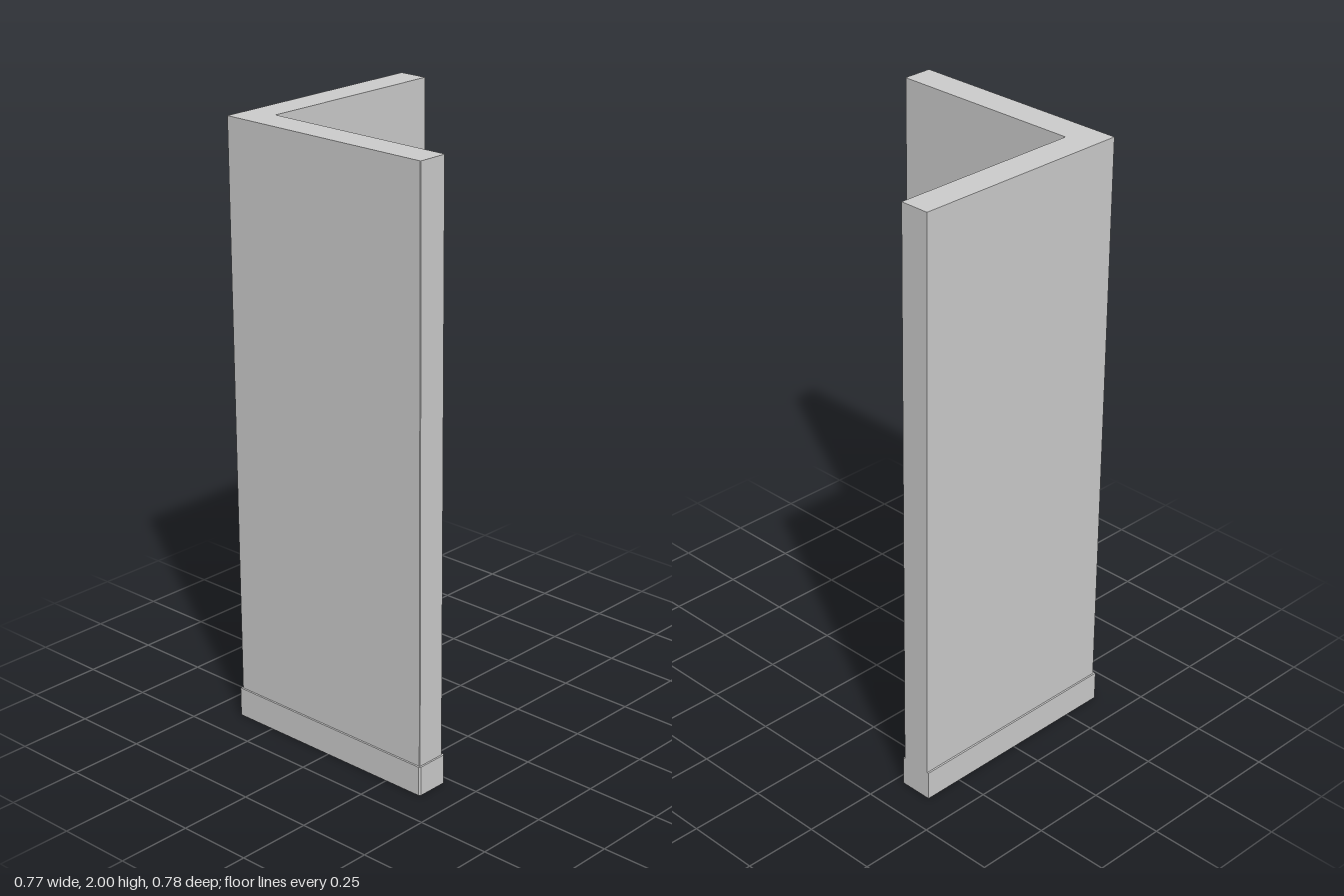
import * as THREE from 'three';

const material = new THREE.MeshStandardMaterial({ color: 0xcccccc, flatShading: true });

// Extrudes an L-shaped plan, given by its outer and inner faces, upward from y0 to y1.
function lShape(name, { back, front, left, right, innerX, innerZ, cut }, y0, y1) {
  const plan = [
    [left, back], [left, front - cut], [left + cut, front],
    [innerX - cut, front], [innerX, front - cut],
    [innerX, innerZ], [right, innerZ], [right, back],
  ];
  const shape = new THREE.Shape(plan.map(([x, z]) => new THREE.Vector2(x, -z)));
  const geometry = new THREE.ExtrudeGeometry(shape, { depth: y1 - y0, bevelEnabled: false });
  geometry.rotateX(-Math.PI / 2).translate(0, y0, 0);
  const mesh = new THREE.Mesh(geometry, material);
  mesh.name = name;
  return mesh;
}

export function createModel() {
  const group = new THREE.Group();
  group.name = 'cornerWall';

  // Two wall panels meeting at a right angle
  group.add(lShape('wall', {
    left: -0.381, right: 0.386, back: -0.388, front: 0.385,
    innerX: -0.279, innerZ: -0.288, cut: 0.002,
  }, 0.095, 2));

  // Slightly wider skirting with clipped corners at its free front end
  group.add(lShape('baseboard', {
    left: -0.387, right: 0.386, back: -0.394, front: 0.391,
    innerX: -0.273, innerZ: -0.281, cut: 0.005,
  }, 0, 0.098));

  return group;
}
